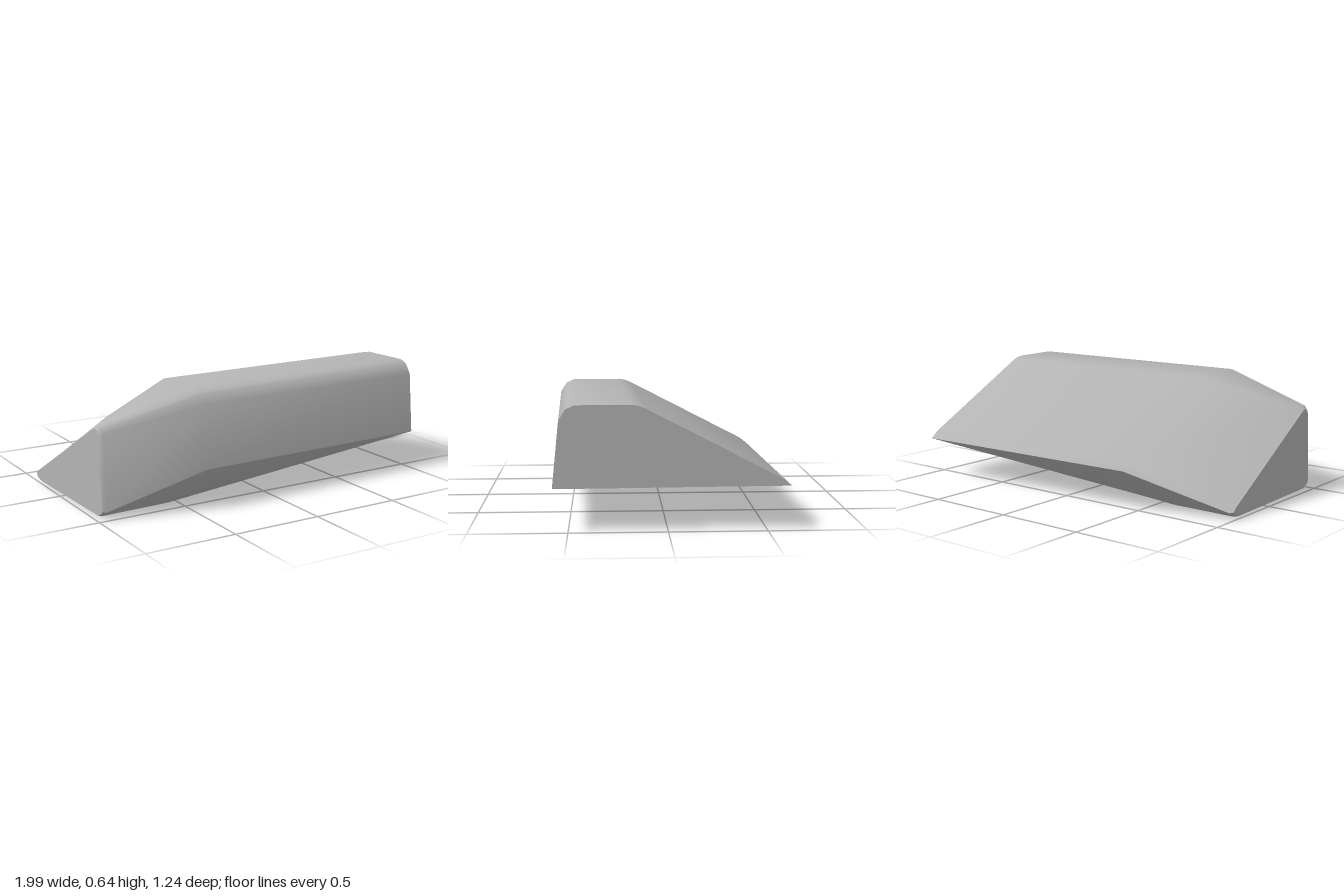
import * as THREE from 'three';
import { toCreasedNormals } from 'three/addons/utils/BufferGeometryUtils.js';

// Upper profile [z, y], from the thin rear edge over the top to the front edge
const upper = [[-0.595, 0.225], [-0.55, 0.262], [0.14, 0.62], [0.17, 0.633], [0.21, 0.64],
  [0.49, 0.64], [0.535, 0.62], [0.57, 0.565], [0.605, 0.225]];

// Rings of [x, z, y] points, ordered from the wide end to the narrow end
function makeRings() {
  const at = (x, pts) => pts.map(([z, y]) => [x, z, y]);
  // wide end: the underside runs out into the straight base edge
  const wide = at(0.98, [...upper, [0.605, 0.225], [0.53, 0.225], [-0.52, 0.225], [-0.595, 0.225]]);
  // shoulder: upper body at full size, keel slightly further along
  const shoulder = [...at(-0.445, upper),
    ...at(-0.56, [[0.445, 0.03], [0.385, 0.003], [-0.3, 0.003], [-0.365, 0.03]])];
  // narrow end, with a small bevel before its flat face
  const tip = [[-0.385, 0.04], [-0.365, 0.06], [0.34, 0.465], [0.36, 0.476], [0.38, 0.486],
    [0.405, 0.49], [0.42, 0.48], [0.435, 0.455], [0.462, 0.045],
    [0.445, 0.025], [0.4, 0.008], [-0.32, 0.008], [-0.365, 0.02]];
  const bevel = tip.map(([z, y]) => [0.04 + (z - 0.04) * 0.97, 0.13 + (y - 0.13) * 0.95]);
  return [wide, shoulder, at(-0.968, tip), at(-0.985, bevel)];
}

function loftGeometry(rings) {
  const v = rings.map(r => r.map(([x, z, y]) => new THREE.Vector3(x, y, z)));
  const pos = [];
  const tri = (a, b, c) => {
    const area = new THREE.Triangle(a, b, c).getArea();
    if (area > 1e-7) for (const p of [a, b, c]) pos.push(p.x, p.y, p.z);
  };
  const n = v[0].length;
  // skin between neighbouring rings
  for (let k = 0; k < v.length - 1; k++) {
    for (let i = 0; i < n; i++) {
      const j = (i + 1) % n;
      tri(v[k][i], v[k + 1][i], v[k + 1][j]);
      tri(v[k][i], v[k + 1][j], v[k][j]);
    }
  }
  // flat end faces
  const last = v[v.length - 1];
  for (let i = 1; i < n - 1; i++) {
    tri(v[0][0], v[0][i], v[0][i + 1]);
    tri(last[0], last[i + 1], last[i]);
  }
  const g = new THREE.BufferGeometry();
  g.setAttribute('position', new THREE.Float32BufferAttribute(pos, 3));
  return toCreasedNormals(g, 0.6);
}

export function createModel() {
  const grey = new THREE.MeshStandardMaterial({ color: 0xb4b4b4 });
  grey.name = 'light grey';
  const body = new THREE.Mesh(loftGeometry(makeRings()), grey);
  body.name = 'wedgeBody';
  body.rotation.y = 0.029; // the body sits slightly askew
  const group = new THREE.Group();
  group.name = 'wedge';
  group.add(body);
  return group;
}
